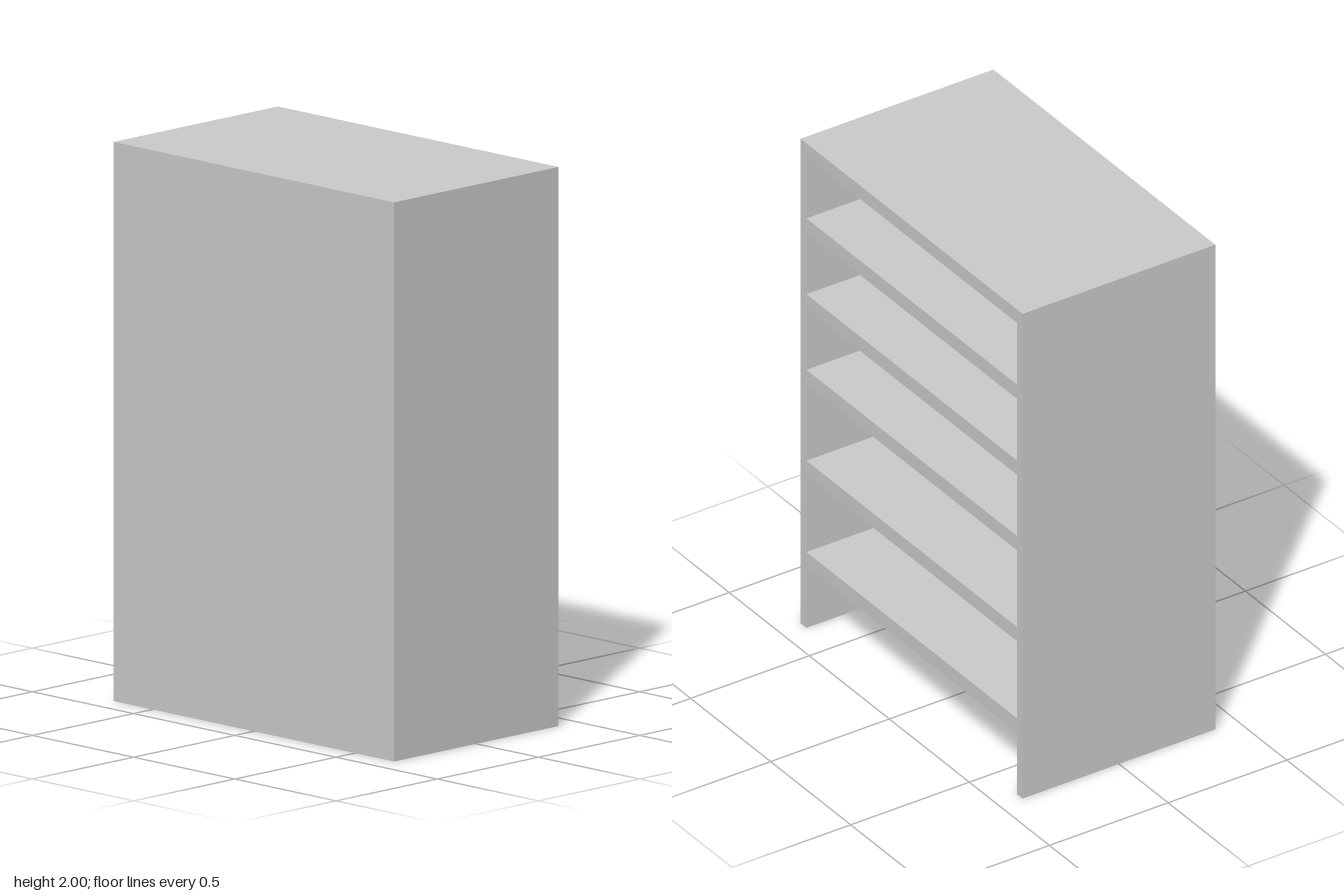
import * as THREE from 'three';

// Overall size; the shelves open towards +x
const HALF_X = 0.406, HALF_Z = 0.693, HEIGHT = 2;
const WALL = 0.036, SHELF = 0.059, TOP = 0.055;

export function createModel() {
  const model = new THREE.Group();
  model.name = 'bookcase';
  const material = new THREE.MeshStandardMaterial({ color: 0xcccccc });

  // Box spanning the given ranges
  function panel(name, [x0, x1], [y0, y1], [z0, z1]) {
    const mesh = new THREE.Mesh(new THREE.BoxGeometry(x1 - x0, y1 - y0, z1 - z0), material);
    mesh.position.set((x0 + x1) / 2, (y0 + y1) / 2, (z0 + z1) / 2);
    mesh.name = name;
    model.add(mesh);
  }

  const innerZ = HALF_Z - WALL;
  const innerX = [-HALF_X + WALL, HALF_X];
  const across = [-innerZ, innerZ];

  // Side walls
  panel('frontSideWall', [-HALF_X, HALF_X], [0, HEIGHT], [innerZ, HALF_Z]);
  panel('backSideWall', [-HALF_X, HALF_X], [0, HEIGHT], [-HALF_Z, -innerZ]);

  // Closed rear panel and top board
  panel('rearPanel', [-HALF_X, innerX[0]], [0, HEIGHT], across);
  panel('topBoard', innerX, [HEIGHT - TOP, HEIGHT], across);

  // Shelves, by the height of their upper face; the lowest bay has no floor
  [0.313, 0.69, 1.065, 1.377, 1.69].forEach((y, i) => {
    panel(`shelf${i + 1}`, innerX, [y - SHELF, y], across);
  });

  return model;
}
